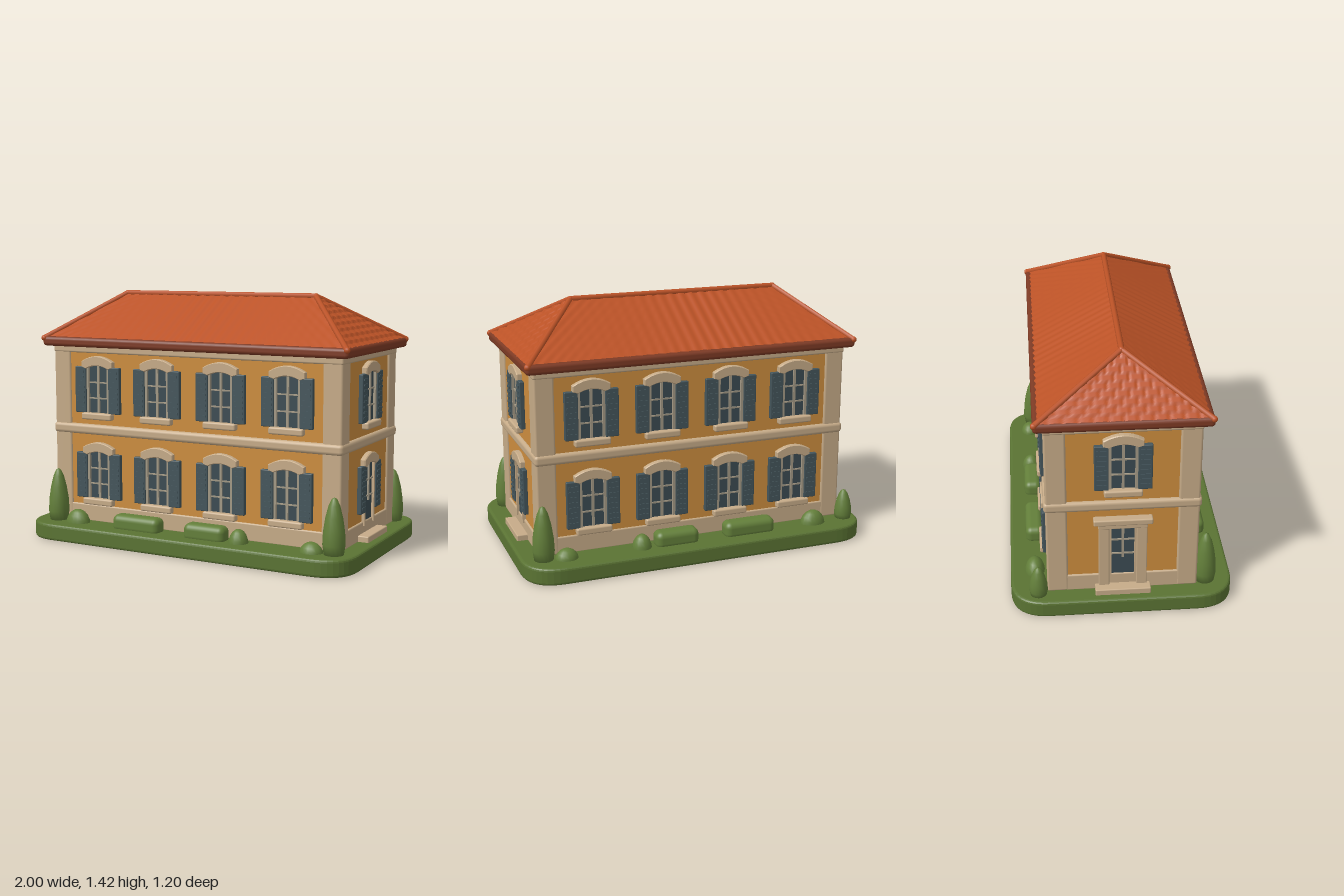
import * as THREE from 'three';
import { RoundedBoxGeometry } from 'three/addons/geometries/RoundedBoxGeometry.js';

const mat = (name, color) => {
  const m = new THREE.MeshStandardMaterial({ color });
  m.name = name;
  return m;
};

export function createModel() {
  const wall = mat('ochre wall', 0xcd8d3e);
  const trim = mat('cream stone', 0xc6ab88);
  const mullion = mat('window frame grey', 0xa39985);
  const roofMat = mat('terracotta', 0xbb5226);
  const eaveMat = mat('dark terracotta', 0x7d3a24);
  const shutterMat = mat('slate shutter', 0x44555b);
  const glass = mat('dark glass', 0x3b4b52);
  const grass = mat('lawn green', 0x5a7333);
  const leaf = mat('leaf green', 0x637f3a);

  const root = new THREE.Group();
  root.name = 'house';
  const add = (parent, name, geo, m, x = 0, y = 0, z = 0) => {
    const mesh = new THREE.Mesh(geo, m);
    mesh.name = name;
    mesh.position.set(x, y, z);
    parent.add(mesh);
    return mesh;
  };
  // box given by its extents; r > 0 rounds the edges
  const box = (parent, name, m, x0, x1, y0, y1, z0, z1, r = 0) => {
    const w = x1 - x0, h = y1 - y0, d = z1 - z0;
    const geo = r ? new RoundedBoxGeometry(w, h, d, 2, r) : new THREE.BoxGeometry(w, h, d);
    return add(parent, name, geo, m, (x0 + x1) / 2, (y0 + y1) / 2, (z0 + z1) / 2);
  };

  // lawn slab with rounded corners
  const X = 0.985, Z = 0.583, R = 0.19;
  const lawn = new THREE.Shape();
  lawn.moveTo(-X + R, -Z);
  lawn.lineTo(X - R, -Z);
  lawn.quadraticCurveTo(X, -Z, X, -Z + R);
  lawn.lineTo(X, Z - R);
  lawn.quadraticCurveTo(X, Z, X - R, Z);
  lawn.lineTo(-X + R, Z);
  lawn.quadraticCurveTo(-X, Z, -X, Z - R);
  lawn.lineTo(-X, -Z + R);
  lawn.quadraticCurveTo(-X, -Z, -X + R, -Z);
  const lawnGeo = new THREE.ExtrudeGeometry(lawn, {
    depth: 0.065, bevelEnabled: true, bevelSize: 0.015, bevelThickness: 0.015, bevelSegments: 3, curveSegments: 10,
  });
  lawnGeo.rotateX(-Math.PI / 2);
  add(root, 'lawn', lawnGeo, grass, 0, 0.015, 0);

  // walls, corner piers and horizontal mouldings
  box(root, 'walls', wall, -0.885, 0.885, 0.09, 1.12, -0.392, 0.392);
  for (const sx of [-1, 1]) for (const sz of [-1, 1]) {
    const pier = box(root, 'cornerPier', trim, -0.055, 0.055, 0.09, 1.12, -0.056, 0.056, 0.012);
    pier.position.x = sx * 0.842;
    pier.position.z = sz * 0.346;
  }
  box(root, 'plinth', trim, -0.895, 0.895, 0.09, 0.19, -0.4, 0.4, 0.008);
  box(root, 'floorBand', trim, -0.905, 0.905, 0.6, 0.66, -0.412, 0.412, 0.02);
  box(root, 'cornice', trim, -0.9, 0.9, 1.07, 1.13, -0.405, 0.405, 0.01);

  // segmental arch over an opening
  const head = (parent, w, y, thick) => {
    const s = new THREE.Shape();
    s.moveTo(-w, 0);
    s.lineTo(-w, 0.028);
    s.quadraticCurveTo(0, 0.088, w, 0.028);
    s.lineTo(w, 0);
    s.lineTo(w * 0.75, -0.008);
    s.quadraticCurveTo(0, 0.03, -w * 0.75, -0.008);
    const geo = new THREE.ExtrudeGeometry(s, {
      depth: thick, bevelEnabled: true, bevelSize: 0.004, bevelThickness: 0.005, bevelSegments: 1, curveSegments: 8,
    });
    add(parent, 'archHead', geo, trim, 0, y, 0);
  };

  // pair of louvred shutters between two heights
  const shutters = (parent, y0, y1) => {
    for (const s of [-1, 1]) {
      const leafGroup = new THREE.Group();
      leafGroup.name = 'shutter';
      leafGroup.position.x = s * 0.112;
      parent.add(leafGroup);
      box(leafGroup, 'shutterBoard', shutterMat, -0.037, 0.037, y0, y1, 0, 0.026, 0.005);
      for (let i = 0; i < 8; i++) {
        const y = y0 + 0.03 + (i * (y1 - y0 - 0.06)) / 7;
        box(leafGroup, 'slat', shutterMat, -0.026, 0.026, y - 0.006, y + 0.006, 0.02, 0.03);
      }
    }
  };

  // opening facing +z, placed on a wall; kind is window, shutterDoor or plainDoor
  const opening = (kind, x, base, z, angle) => {
    const g = new THREE.Group();
    g.name = kind;
    g.position.set(x, base, z);
    g.rotation.y = angle;
    root.add(g);
    const isDoor = kind !== 'window';
    const low = isDoor ? -0.07 : 0, top = 0.265;
    box(g, 'pane', glass, -0.073, 0.073, low, top + 0.01, 0, 0.004);
    for (const s of [-1, 1]) {
      box(g, 'jamb', isDoor ? trim : mullion, s * 0.068 - 0.007, s * 0.068 + 0.007, low, top, 0, 0.018);
    }
    box(g, 'centreBar', mullion, -0.007, 0.007, isDoor ? 0.06 : low, top + 0.01, 0, 0.013);
    for (const y of [0.085, 0.175]) box(g, 'crossBar', mullion, -0.066, 0.066, y - 0.004, y + 0.004, 0, 0.011);
    if (kind === 'plainDoor') {
      for (const s of [-1, 1]) {
        box(g, 'doorCasing', trim, s * 0.1 - 0.028, s * 0.1 + 0.028, -0.13, 0.27, 0, 0.025, 0.005);
      }
      box(g, 'doorLintel', trim, -0.13, 0.13, 0.255, 0.295, 0, 0.028, 0.005);
      box(g, 'doorHood', trim, -0.155, 0.155, 0.29, 0.325, 0, 0.05, 0.008);
    } else {
      shutters(g, isDoor ? 0.005 : 0, top);
      head(g, 0.1, top, 0.024);
    }
    if (isDoor) box(g, 'doorStep', trim, -0.148, 0.148, -0.15, -0.11, 0, 0.07, 0.006);
    else box(g, 'sill', trim, -0.1, 0.1, -0.037, 0.002, 0, 0.042, 0.01);
  };
  for (const x of [-0.595, -0.205, 0.195, 0.59]) for (const y of [0.232, 0.728]) {
    opening('window', x, y, 0.392, 0);
    opening('window', x, y, -0.392, Math.PI);
  }
  opening('window', 0.885, 0.735, 0, Math.PI / 2);
  opening('shutterDoor', 0.885, 0.238, 0, Math.PI / 2);
  opening('window', -0.885, 0.735, 0, -Math.PI / 2);
  opening('plainDoor', -0.885, 0.238, 0, -Math.PI / 2);

  // eaves
  box(root, 'eaves', eaveMat, -0.945, 0.945, 1.105, 1.16, -0.453, 0.453, 0.02);

  // one roof slope: eave a to b, ridge c above a, d above b, raised by a relief rule
  const slope = (name, a, b, c, d, nu, nv, relief) => {
    const pos = [], index = [];
    const p = new THREE.Vector3(), q = new THREE.Vector3();
    for (let j = 0; j <= nv; j++) for (let i = 0; i <= nu; i++) {
      p.lerpVectors(a, b, i / nu);
      q.lerpVectors(c, d, i / nu);
      p.lerp(q, j / nv);
      pos.push(p.x, p.y + relief(p, j / nv), p.z);
      if (i < nu && j < nv) {
        const k = j * (nu + 1) + i, up = k + nu + 1;
        index.push(k, k + 1, up + 1, k, up + 1, up);
      }
    }
    const geo = new THREE.BufferGeometry();
    geo.setAttribute('position', new THREE.Float32BufferAttribute(pos, 3));
    geo.setIndex(index);
    geo.computeVertexNormals();
    add(root, name, geo, roofMat);
  };
  const v = (x, y, z) => new THREE.Vector3(x, y, z);
  const fl = v(-0.935, 1.15, 0.445), fr = v(0.935, 1.15, 0.445);
  const bl = v(-0.935, 1.15, -0.445), br = v(0.935, 1.15, -0.445);
  const rl = v(-0.64, 1.4, 0.01), rr = v(0.575, 1.4, 0.01);
  const ribs = (p) => 0.003 * Math.cos((p.x * Math.PI * 2) / 0.062);
  const tiles = (p, t) => {
    const row = Math.floor(t * 9);
    const joint = Math.abs(Math.sin((p.z / 0.075 + row * 0.5) * Math.PI));
    return 0.009 * (1 - (t * 9 - row)) + 0.006 * Math.min(1, joint * 2) - 0.004;
  };
  slope('frontRoof', fl, fr, rl, rr, 200, 8, ribs);
  slope('backRoof', br, bl, rr, rl, 200, 8, ribs);
  slope('rightRoof', fr, br, rr, rr, 72, 54, tiles);
  slope('leftRoof', bl, fl, rl, rl, 72, 54, tiles);

  // ridge and hip caps
  for (const [a, b] of [[rl, rr], [fl, rl], [bl, rl], [fr, rr], [br, rr]]) {
    add(root, 'ridgeCap', new THREE.TubeGeometry(new THREE.LineCurve3(a, b), 1, 0.016, 8), roofMat);
    add(root, 'ridgeEnd', new THREE.SphereGeometry(0.017, 10, 8), roofMat, a.x, a.y, a.z);
  }
  add(root, 'ridgeEnd', new THREE.SphereGeometry(0.017, 10, 8), roofMat, rr.x, rr.y, rr.z);

  // cypresses: x, z, height, radius
  const profile = [[0, 0], [0.85, 0], [1, 0.2], [0.95, 0.42], [0.76, 0.66], [0.5, 0.86], [0.24, 0.97], [0, 1]];
  for (const [x, z, h, r] of [
    [-0.85, 0.45, 0.31, 0.06], [0.88, 0.45, 0.31, 0.06], [0.88, -0.44, 0.31, 0.06], [-0.91, -0.45, 0.18, 0.05],
  ]) {
    const pts = profile.map(([pr, py]) => new THREE.Vector2(pr * r, py * h));
    add(root, 'cypress', new THREE.LatheGeometry(pts, 16), leaf, x, 0.085, z);
  }

  // clipped hedges and round shrubs along both long walls
  for (const s of [1, -1]) {
    for (const [x, w] of [[-0.3, 0.3], [0.135, 0.25]]) {
      add(root, 'hedge', new RoundedBoxGeometry(w, 0.1, 0.1, 4, 0.035), leaf, x, 0.123, s * 0.46);
    }
    for (const [x, w, h] of [[-0.705, 0.075, 0.085], [0.335, 0.055, 0.085], [0.76, 0.065, 0.065]]) {
      add(root, 'shrub', new THREE.SphereGeometry(1, 16, 10), leaf, x, 0.085, s * 0.465).scale.set(w, h, 0.055);
    }
  }
  return root;
}
